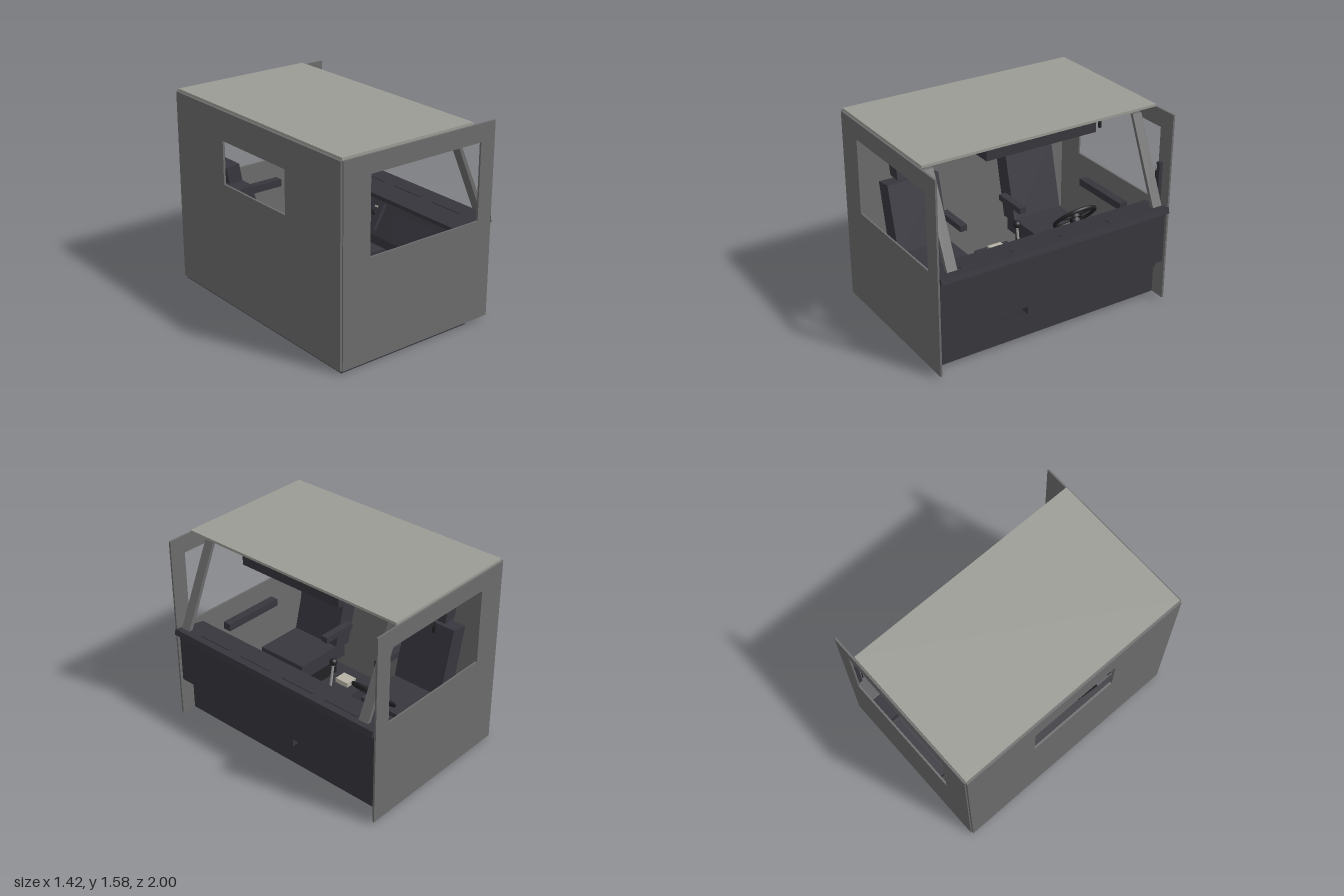
import * as THREE from 'three';

const mat = (name, color, side = THREE.FrontSide) => {
  const m = new THREE.MeshStandardMaterial({ color, side });
  m.name = name;
  return m;
};

export function createModel() {
  const model = new THREE.Group();
  model.name = 'cab';
  const wallGrey = mat('wall grey', 0x6b6b6c);
  const roofGrey = mat('roof grey', 0x9c9c95);
  const dark = mat('dark trim', 0x37363d);
  const seatDark = mat('seat cloth', 0x38373f);
  const black = mat('black rubber', 0x222225);
  const cream = mat('gauge cream', 0xb5b2a4);
  const chrome = mat('lever metal', 0x9a9a9a);

  const add = (name, geo, material, parent = model) => {
    const m = new THREE.Mesh(geo, material);
    m.name = name;
    parent.add(m);
    return m;
  };
  // Box given by its lower and upper limits on each axis
  const box = (name, x0, x1, y0, y1, z0, z1, material, parent = model) => {
    const m = add(name, new THREE.BoxGeometry(x1 - x0, y1 - y0, z1 - z0), material, parent);
    m.position.set((x0 + x1) / 2, (y0 + y1) / 2, (z0 + z1) / 2);
    return m;
  };
  // Straight round bar between two points
  const rod = (name, a, b, r, material, parent = model) => {
    const p = new THREE.Vector3(...a), q = new THREE.Vector3(...b);
    const m = add(name, new THREE.CylinderGeometry(r, r, p.distanceTo(q), 10), material, parent);
    m.position.copy(p).add(q).multiplyScalar(0.5);
    m.quaternion.setFromUnitVectors(new THREE.Vector3(0, 1, 0), q.sub(p).normalize());
    return m;
  };
  const poly = (pts) => new THREE.Shape(pts.map(([x, y]) => new THREE.Vector2(x, y)));
  const rect = (x0, x1, y0, y1) => [[x0, y0], [x1, y0], [x1, y1], [x0, y1]];
  const extrude = (pts, depth, hole) => {
    const s = poly(pts);
    if (hole) s.holes.push(poly(hole));
    return new THREE.ExtrudeGeometry(s, { depth, bevelEnabled: false });
  };

  // Shell: floor, roof, two side walls and rear wall with window openings
  box('floor', -0.695, 0.48, 0, 0.02, -0.985, 0.985, dark);
  box('roof', -0.695, 0.48, 1.555, 1.575, -0.985, 0.985, roofGrey);
  for (const z of [-1, 0.985]) {
    const g = extrude(rect(-0.695, 0.683, 0.02, 1.555), 0.015, rect(-0.46, 0.55, 0.815, 1.415));
    add('sideWall', g, wallGrey).position.z = z;
  }
  const rear = add('rearWall',
    extrude(rect(-0.99, 0.99, 0.02, 1.555), 0.017, rect(-0.38, 0.375, 0.985, 1.325)), wallGrey);
  rear.rotation.y = Math.PI / 2;
  rear.position.x = -0.712;

  // Windscreen pillars, header rail and overhead console
  for (const z of [-0.925, 0.845]) {
    add('windscreenPillar',
      extrude([[0.648, 0.84], [0.683, 0.84], [0.39, 1.49], [0.362, 1.49]], 0.08), wallGrey).position.z = z;
  }
  box('headerRail', 0.34, 0.37, 1.505, 1.53, -0.855, 0.86, wallGrey);
  box('overheadConsole', 0.25, 0.455, 1.465, 1.555, -0.46, 0.465, dark);

  // Dashboard body and the stepped bulkhead below it
  const body = add('dashboardBody', extrude(
    [[0.53, 0.335], [0.66, 0.335], [0.66, 0.77], [0.43, 0.735], [0.29, 0.49], [0.29, 0.42], [0.53, 0.36]], 1.97), dark);
  body.position.z = -0.985;
  box('bulkheadStep', 0.54, 0.66, 0.272, 0.335, -0.2, 0.25, dark);
  box('bulkheadLedge', 0.52, 0.58, 0.25, 0.335, -0.985, 0.985, dark);
  box('bulkheadSeam', 0.52, 0.565, 0.238, 0.25, -0.985, 0.985, black);
  box('lowerBulkhead', 0.47, 0.56, 0.02, 0.238, -0.985, 0.985, dark);

  // Tilted dashboard cap with four air vents
  const cap = new THREE.Group();
  cap.name = 'dashboardCap';
  cap.position.set(0.562, 0.762, 0);
  cap.rotation.z = 0.2;
  model.add(cap);
  box('capPanel', -0.145, 0.145, -0.024, 0.024, -0.985, 0.985, dark, cap);
  for (const z of [-0.63, -0.215, 0.2075, 0.6275]) {
    box('airVent', 0.025, 0.07, 0.02, 0.03, z - 0.15, z + 0.15, dark, cap);
  }

  // Instrument panel: local x runs along the dash, local z faces the driver
  const panel = new THREE.Group();
  panel.name = 'instrumentPanel';
  panel.position.set(0.36, 0.6125, 0);
  const up = new THREE.Vector3(0.14, 0.245, 0).normalize();
  const along = new THREE.Vector3(0, 0, 1);
  panel.quaternion.setFromRotationMatrix(
    new THREE.Matrix4().makeBasis(along, up, along.clone().cross(up)));
  model.add(panel);
  const gauges = [[-0.77, 0.05, 0.032], [-0.69, 0.07, 0.032], [-0.58, 0.055, 0.05], [-0.46, 0.055, 0.05],
    [-0.36, 0.07, 0.032], [-0.77, -0.03, 0.03], [-0.69, -0.02, 0.03], [-0.36, -0.02, 0.03]];
  for (const [x, y, r] of gauges) {
    const dial = add('gaugeFace', new THREE.CylinderGeometry(r, r, 0.008, 20), black, panel);
    dial.rotation.x = Math.PI / 2;
    dial.position.set(x, y, 0.004);
    add('gaugeRing', new THREE.TorusGeometry(r, 0.004, 6, 20), cream, panel).position.set(x, y, 0.008);
    const needle = box('gaugeNeedle', -0.002, 0.002, 0, r * 0.75, 0, 0.002, cream, panel);
    needle.position.set(x, y + r * 0.35, 0.009);
  }
  box('centreControls', -0.22, 0.16, -0.1, 0.11, 0, 0.03, seatDark, panel);
  for (let i = 0; i < 4; i++) {
    for (const y of [-0.05, 0.02]) {
      const knob = add('controlKnob', new THREE.CylinderGeometry(0.014, 0.016, 0.02, 12), black, panel);
      knob.rotation.x = Math.PI / 2;
      knob.position.set(-0.16 + i * 0.085, y, 0.04);
    }
    box('switchLight', -0.175 + i * 0.085, -0.145 + i * 0.085, 0.065, 0.08, 0.03, 0.036, cream, panel);
  }
  box('gloveBox', 0.3, 0.85, -0.09, 0.08, 0, 0.012, seatDark, panel);

  // Steering wheel and column
  const wheel = new THREE.Group();
  wheel.name = 'steeringWheel';
  wheel.position.set(0.14, 0.62, -0.525);
  wheel.quaternion.setFromUnitVectors(new THREE.Vector3(0, 0, 1), new THREE.Vector3(-0.72, 0.69, 0).normalize());
  model.add(wheel);
  add('wheelRim', new THREE.TorusGeometry(0.17, 0.015, 8, 32), black, wheel);
  const hub = add('wheelHub', new THREE.CylinderGeometry(0.045, 0.05, 0.03, 20), black, wheel);
  hub.rotation.x = Math.PI / 2;
  for (let i = 0; i < 3; i++) {
    const a = Math.PI / 2 + i * Math.PI * 2 / 3;
    rod('wheelSpoke', [0, 0, 0], [0.17 * Math.cos(a), 0.17 * Math.sin(a), 0], 0.011, black, wheel);
  }
  rod('steeringColumn', [0.14, 0.62, -0.525], [0.38, 0.39, -0.525], 0.03, dark);
  for (const z of [-0.65, -0.53, -0.41]) box('pedal', 0.4, 0.43, 0.1, 0.2, z - 0.035, z + 0.035, black);

  // Two seats with reclined backs and inner armrests
  for (const s of [-1, 1]) {
    const seat = new THREE.Group();
    seat.name = 'seat';
    seat.position.z = s * 0.525;
    model.add(seat);
    box('seatBase', -0.45, -0.05, 0.02, 0.3, -0.16, 0.16, black, seat);
    box('seatCushion', -0.48, 0.02, 0.3, 0.43, -0.22, 0.22, seatDark, seat);
    add('seatBack', extrude([[-0.53, 0.4], [-0.37, 0.4], [-0.51, 0.955], [-0.65, 0.935]], 0.44), seatDark, seat)
      .position.z = -0.22;
    add('headrest', extrude([[-0.645, 0.965], [-0.53, 0.965], [-0.555, 1.105], [-0.67, 1.095]], 0.245), seatDark, seat)
      .position.z = -0.1225;
    for (const z of [-0.07, 0.07]) rod('headrestPost', [-0.58, 0.93, z], [-0.585, 0.98, z], 0.01, black, seat);
    const arm = box('seatArmrest', -0.5, -0.2, 0.57, 0.62, -0.03, 0.03, seatDark, seat);
    arm.position.z = -s * 0.255;
    // Door armrest on the side wall
    const door = box('doorArmrest', -0.34, 0.2, 0.59, 0.65, -0.035, 0.035, dark);
    door.position.z = s * 0.95;
  }

  // Gear lever on the centre tunnel, with a small tray
  box('centreTunnel', -0.25, 0.48, 0.02, 0.34, -0.15, 0.15, dark);
  box('tunnelTray', -0.2, -0.1, 0.34, 0.38, -0.06, 0.06, cream);
  rod('gearLever', [0.1, 0.34, -0.05], [0.05, 0.64, -0.05], 0.01, chrome);
  add('gearKnob', new THREE.SphereGeometry(0.03, 16, 12), black).position.set(0.05, 0.65, -0.05);

  // Pull cord beside the driver and the upright post by the door
  rod('pullCord', [-0.065, 1.25, -0.89], [-0.065, 1.555, -0.89], 0.003, black);
  box('pullHandle', -0.075, -0.055, 1.21, 1.265, -0.9, -0.88, black);
  box('doorPost', 0.575, 0.61, 0.76, 1.155, -0.975, -0.945, dark);
  rod('postLever', [0.59, 1.1, -0.928], [0.59, 1.14, -0.928], 0.006, chrome);
  rod('postLeverStem', [0.59, 0.78, -0.928], [0.59, 1.1, -0.928], 0.004, black);

  return model;
}
